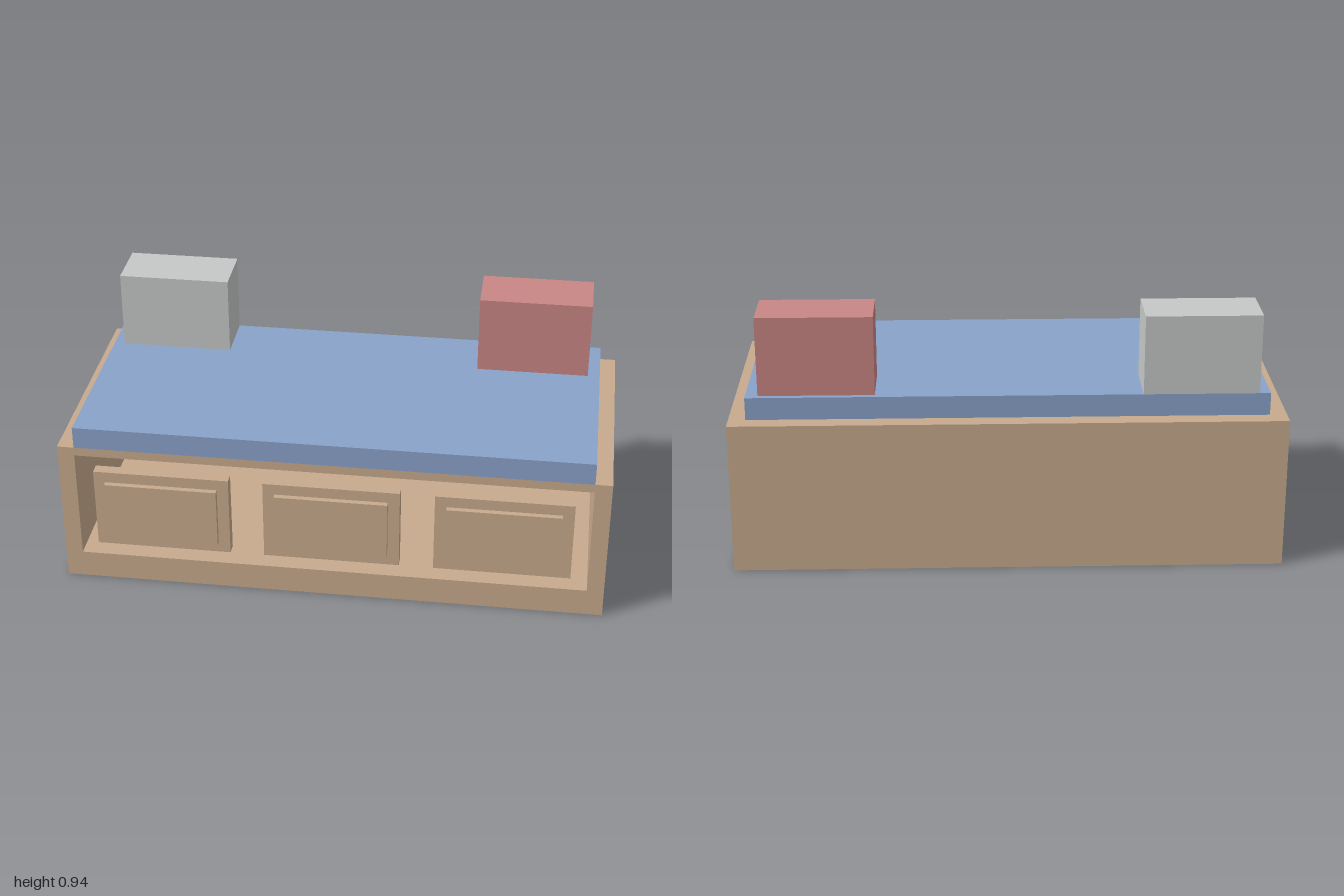
import * as THREE from 'three';

const material = (name, color) => {
  const m = new THREE.MeshStandardMaterial({ color });
  m.name = name;
  return m;
};

export function createModel() {
  const wood = material('tan wood', 0xc8aa8d);
  const blue = material('blue mattress', 0x8aa2ca);
  const red = material('red pillow', 0xc98684);
  const grey = material('grey pillow', 0xc5c8c7);
  const model = new THREE.Group();
  model.name = 'storageBed';

  // Box given by its lower and upper limits on each axis
  const box = (name, mat, [x0, x1], [y0, y1], [z0, z1], parent = model) => {
    const mesh = new THREE.Mesh(new THREE.BoxGeometry(x1 - x0, y1 - y0, z1 - z0), mat);
    mesh.position.set((x0 + x1) / 2, (y0 + y1) / 2, (z0 + z1) / 2);
    mesh.name = name;
    parent.add(mesh);
    return mesh;
  };

  // Hollow base, open at the front
  const back = -0.4, front = 0.453;
  const outline = new THREE.Shape([[-1, 0], [1, 0], [1, 0.563], [-1, 0.563]]
    .map(([x, y]) => new THREE.Vector2(x, y)));
  outline.holes.push(new THREE.Path([[-0.938, 0.105], [-0.938, 0.53], [0.938, 0.53], [0.938, 0.105]]
    .map(([x, y]) => new THREE.Vector2(x, y))));
  const base = new THREE.Mesh(
    new THREE.ExtrudeGeometry(outline, { depth: front - back, bevelEnabled: false }), wood);
  base.position.z = back;
  base.name = 'baseFrame';
  model.add(base);
  box('baseBack', wood, [-1, 1], [0, 0.563], [-0.463, back]);

  // Three drawer fronts, each with a raised panel
  for (const x of [-0.626, 0, 0.626]) {
    const drawer = new THREE.Group();
    drawer.name = 'drawer';
    box('drawerFront', wood, [x - 0.25, x + 0.25], [0.147, 0.459], [0.4, 0.443], drawer);
    box('drawerPanel', wood, [x - 0.207, x + 0.207], [0.189, 0.417], [0.443, 0.463], drawer);
    model.add(drawer);
  }

  // Mattress and the two upright pillows
  box('mattress', blue, [-0.938, 0.938], [0.563, 0.646], [back, front]);
  box('rightPillow', grey, [-0.898, -0.482], [0.646, 0.938], [-0.4, -0.195]);
  box('leftPillow', red, [0.476, 0.893], [0.646, 0.938], [-0.38, -0.173]);

  return model;
}
